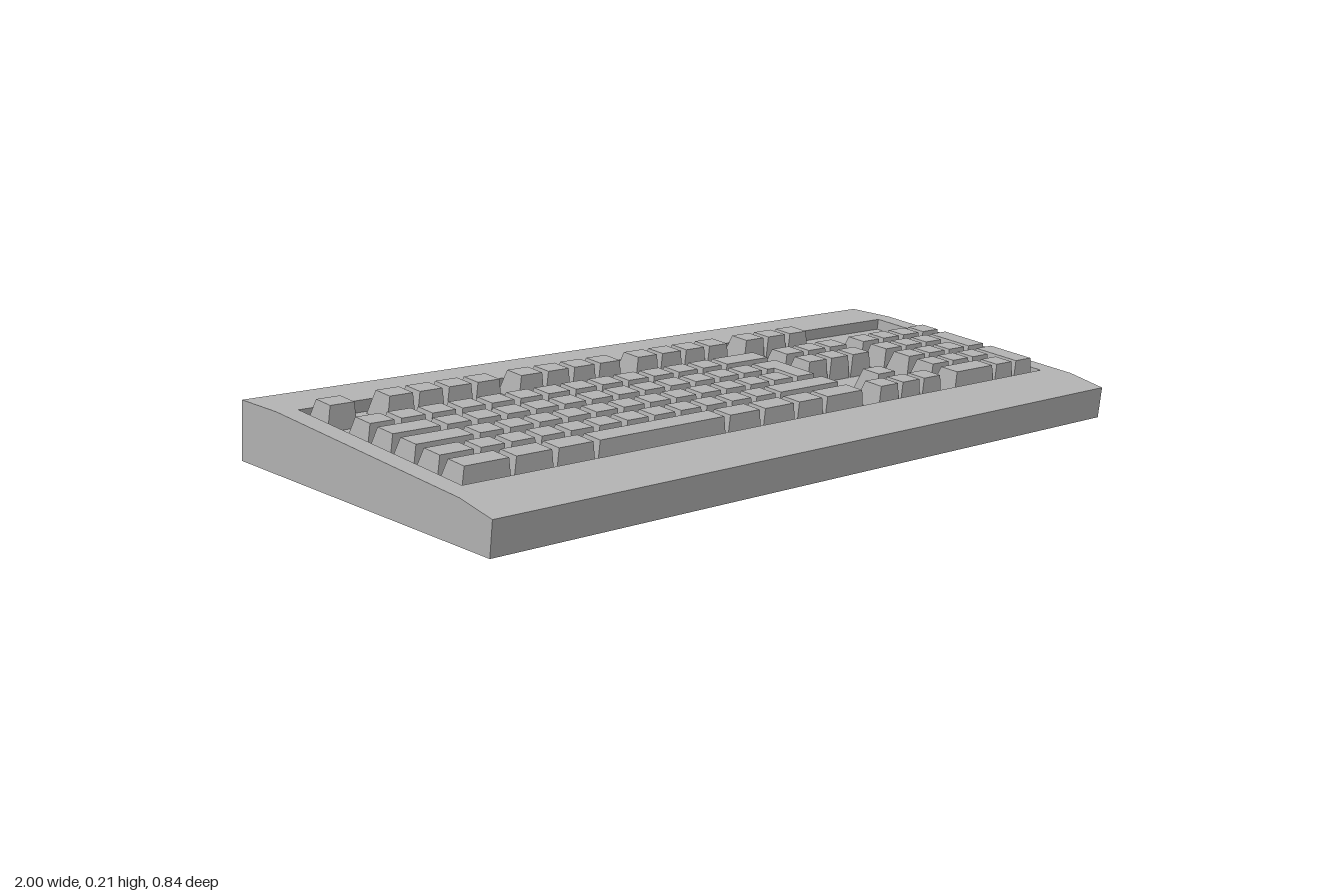
import * as THREE from 'three';

const grey = new THREE.MeshStandardMaterial({ color: 0xb4b4b4 });
grey.name = 'grey plastic';

// Case side profile as [z, y], from the front top corner round the bottom
const PROFILE = [[0.422, 0.078], [0.412, 0], [-0.421, 0.064], [-0.412, 0.199], [-0.284, 0.19], [0.325, 0.104]];
const SLOPE = (0.19 - 0.104) / (0.325 + 0.284);
const TILT = Math.atan(SLOPE);
const C = Math.cos(TILT);
const DECK_Y = 0.104 + 0.325 * SLOPE; // deck height at z = 0
const DEPTH = 0.028; // recess depth
const RISE = 0.029; // key tops above the deck
const U = 0.0806; // one key width
const ROW = 0.076; // row pitch
const ROW0 = -0.124; // back of the number row

function add(parent, name, geometry) {
  const mesh = new THREE.Mesh(geometry, grey);
  mesh.name = name;
  parent.add(mesh);
  return mesh;
}

// Full-width panel between two profile points
function panel(a, b) {
  const g = new THREE.BufferGeometry();
  g.setAttribute('position', new THREE.Float32BufferAttribute([
    -1, a[1], a[0], -1, b[1], b[0], 1, b[1], b[0], 1, a[1], a[0]], 3));
  g.setIndex([0, 1, 2, 0, 2, 3]);
  g.computeVertexNormals();
  return g;
}

// Keycap whose top is pulled in, most of all at the back
function keyGeometry(w, d) {
  const h = DEPTH + RISE;
  const g = new THREE.BoxGeometry(w - 0.005, h, d - 0.002).toNonIndexed();
  const p = g.attributes.position;
  for (let i = 0; i < p.count; i++) {
    if (p.getY(i) < 0) continue;
    p.setX(i, p.getX(i) - Math.sign(p.getX(i)) * 0.007);
    p.setZ(i, p.getZ(i) + (p.getZ(i) > 0 ? -0.006 : 0.018));
  }
  g.computeVertexNormals();
  return g.translate(0, h / 2 - DEPTH, 0);
}

function rectPath(path, x0, x1, z0, z1) {
  return path.moveTo(x0, -z0).lineTo(x0, -z1).lineTo(x1, -z1).lineTo(x1, -z0).closePath();
}

export function createModel() {
  const model = new THREE.Group();
  model.name = 'keyboard';

  // Case shell: every profile edge except the key deck
  const shell = new THREE.Group();
  shell.name = 'case';
  model.add(shell);
  const names = ['caseFront', 'caseBottom', 'caseBack', 'rearLip', null, 'frontLip'];
  names.forEach((name, i) => {
    if (name) add(shell, name, panel(PROFILE[i], PROFILE[(i + 1) % PROFILE.length]));
  });
  for (const s of [-1, 1]) {
    const shape = new THREE.Shape(PROFILE.map(([z, y]) => new THREE.Vector2(-s * z, y)));
    add(shell, s > 0 ? 'leftSide' : 'rightSide',
      new THREE.ShapeGeometry(shape).rotateY(s * Math.PI / 2).translate(s, 0, 0));
  }

  // Sloping deck with the key recess
  const deck = new THREE.Group();
  deck.name = 'deck';
  deck.position.y = DECK_Y;
  deck.rotation.x = TILT;
  model.add(deck);
  const frame = rectPath(new THREE.Shape(), -1, 1, -0.284 / C, 0.325 / C);
  frame.holes.push(rectPath(new THREE.Path(), -0.95, 0.945, -0.275 / C, 0.27 / C));
  add(deck, 'deckFrame', new THREE.ExtrudeGeometry(frame, { depth: DEPTH, bevelEnabled: false })
    .rotateX(-Math.PI / 2).translate(0, -DEPTH, 0));
  add(deck, 'recessFloor', new THREE.PlaneGeometry(1.9, 0.56).rotateX(-Math.PI / 2).translate(0, -DEPTH, 0));

  // Keys: x is the right-hand edge, z the back edge, widths in key units
  const keys = new THREE.Group();
  keys.name = 'keys';
  deck.add(keys);
  const key = (name, x, z, w = 1, d = ROW) =>
    add(keys, name, keyGeometry(w * U, d / C)).position.set(x + w * U / 2, 0, (z + d / 2) / C - 0.002);
  const row = (name, x, z, widths) => {
    for (const w of widths) {
      key(name, x, z, w);
      x += w * U;
    }
  };
  const ones = (n) => Array(n).fill(1);
  const rowZ = (i) => ROW0 + i * ROW;

  // Separate row along the back
  const BACK = -0.262;
  row('escapeKey', -0.938, BACK, [1]);
  for (const x of [-0.784, -0.416, -0.052]) row('backRowKey', x, BACK, ones(4));

  // Main block
  const X = -0.938;
  row('numberKey', X, rowZ(0), [...ones(13), 2]);
  row('upperLetterKey', X, rowZ(1), [1.75, ...ones(12), 1.25]);
  row('middleLetterKey', X, rowZ(2), [2.05, ...ones(12)]);
  key('enterKey', X + 14.05 * U, rowZ(1), 0.95, 2 * ROW);
  row('lowerLetterKey', X, rowZ(3), [1.3, ...ones(11), 2.7]);
  row('bottomKey', X, rowZ(4), [1.65, 1.4, 1.4]);
  key('spaceBar', X + 4.45 * U, rowZ(4), 4.8);
  row('bottomKey', X + 9.25 * U, rowZ(4), [1.4, 1.4, 1.2, 1.75]);

  // Navigation block
  const N = 0.322;
  for (const z of [BACK, rowZ(0), rowZ(1)]) row('navigationKey', N, z, ones(3));
  key('arrowKey', N + U, rowZ(3));
  row('arrowKey', N, rowZ(4), ones(3));

  // Number pad
  const P = 0.612;
  row('padKey', P, rowZ(0), ones(4));
  for (const i of [1, 2, 3]) row('padKey', P, rowZ(i), ones(3));
  row('padKey', P, rowZ(4), [2, 1]);
  key('padTallKey', P + 3 * U, rowZ(1), 1, 2 * ROW);
  key('padTallKey', P + 3 * U, rowZ(3), 1, 2 * ROW);

  return model;
}
